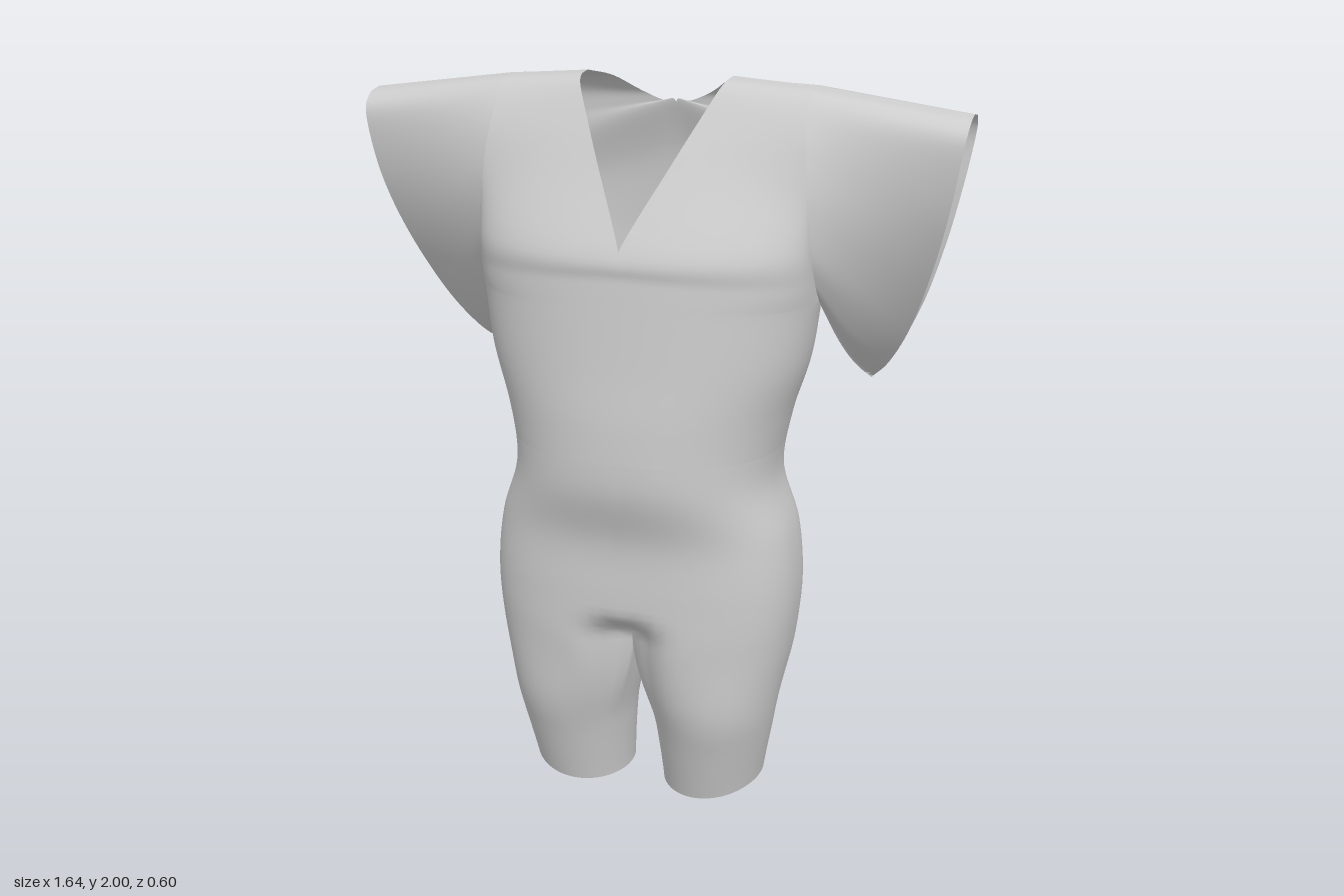
import * as THREE from 'three';
import { mergeGeometries, mergeVertices } from 'three/addons/utils/BufferGeometryUtils.js';

const { lerp, smoothstep, degToRad } = THREE.MathUtils;
const material = new THREE.MeshStandardMaterial({ color: 0xcccccc, side: THREE.DoubleSide });
const V = (x, y, z) => new THREE.Vector3(x, y, z);
const curve = (pts) => new THREE.CatmullRomCurve3(pts.map((p) => V(...p)), false, 'catmullrom', 0.5);

// Grid surface from point(u, v); side -1 mirrors it, flip turns the faces over
function sheet(point, nu, nv, side = 1, flip = false) {
  const pos = [], index = [];
  for (let j = 0; j <= nv; j++) {
    for (let i = 0; i <= nu; i++) {
      const p = point(i / nu, j / nv);
      pos.push(p.x * side, p.y, p.z);
      if (i === nu || j === nv) continue;
      const a = j * (nu + 1) + i, b = a + 1, c = a + nu + 1, d = c + 1;
      if ((side < 0) !== flip) index.push(a, d, b, a, c, d);
      else index.push(a, b, d, a, d, c);
    }
  }
  const g = new THREE.BufferGeometry();
  g.setAttribute('position', new THREE.Float32BufferAttribute(pos, 3));
  g.setIndex(index);
  return g;
}

// Welds sheets into one smooth mesh
function fabric(name, sheets) {
  const g = mergeVertices(mergeGeometries(sheets), 1e-4);
  g.computeVertexNormals();
  const mesh = new THREE.Mesh(g, material);
  mesh.name = name;
  return mesh;
}

// Body profile, evenly spaced from hem to underarm: half width, front z, back z
const CHEST = 1.44, WAIST = 1.04, CROTCH = 0.5;
const profile = curve([
  [0.34, 0.16, -0.14], [0.367, 0.203, -0.14], [0.39, 0.247, -0.145], [0.42, 0.264, -0.175],
  [0.432, 0.264, -0.245], [0.415, 0.266, -0.275], [0.368, 0.308, -0.25], [0.39, 0.308, -0.255],
  [0.437, 0.292, -0.262], [0.46, 0.278, -0.263],
]);
const CHEST_ROUND = 2.2, HIP_ROUND = 2.7, BACK_ROUND = 2.4;
const bulge = (s, n, q) => Math.pow(Math.max(0, 1 - Math.pow(s, n)), 1 / q);

// Half of the trunk section, u runs front centre -> side -> back centre
function trunk(u, y) {
  const p = profile.getPoint(y / CHEST);
  const s = u === 1 ? 0 : Math.sin(u * Math.PI), front = u <= 0.5;
  const x = p.x * s;
  const n = front ? lerp(HIP_ROUND, CHEST_ROUND, smoothstep(y, 0.7, 1.1)) : BACK_ROUND;
  const cleft = front
    ? 0.38 * (1 - smoothstep(y, CROTCH, 0.62)) ** 2
    : 0.7 * (1 - smoothstep(y, CROTCH, 0.76)) ** 2;
  const dent = 1 - cleft * Math.exp(-((x / 0.075) ** 2));
  return V(x, y, (front ? p.y : p.z) * bulge(s, n, n) * dent);
}

// Trunk section blending into a round leg below the crotch
function leg(base, degrees, y) {
  const p = profile.getPoint(y / CHEST);
  const inner = lerp(0.052, 0, (y / CROTCH) ** 1.3);
  const a = degToRad(degrees);
  const target = V(
    (p.x + inner) / 2 + ((p.x - inner) / 2) * Math.sin(a), y,
    (p.y + p.z) / 2 + ((p.y - p.z) / 2) * Math.cos(a));
  const q = base.lerp(target, 1 - smoothstep(y, 0.2, CROTCH));
  // Hem rises toward the outside and the back
  const rise = 0.035 * (q.x / 0.34) ** 3 + 0.06 * (0.16 - q.z);
  q.y += rise * (1 - smoothstep(y, 0, 0.35));
  return q;
}
const legOuter = (u, v) => leg(trunk(u, v * CROTCH), -55 + 290 * u, v * CROTCH);
const legInner = (u, v) => {
  const y = v * CROTCH;
  return leg(trunk(1, y).lerp(trunk(0, y), u), 235 + 70 * u, y);
};

// Edge curves from bottom to shoulder ridge: neckline, armhole and cuff
const edges = {
  front: {
    n: CHEST_ROUND,
    neck: curve([[0, 1.44, 0.278], [0, 1.52, 0.271], [0, 1.595, 0.262], [0.1, 1.8, 0.14],
      [0.15, 1.9, 0.075], [0.185, 1.97, 0.025], [0.197, 1.994, -0.015], [0.2, 2, -0.07]]),
    arm: curve([[0.46, 1.44, 0], [0.457, 1.5, 0.045], [0.452, 1.59, 0.085], [0.442, 1.72, 0.095],
      [0.43, 1.84, 0.072], [0.42, 1.925, 0.032], [0.42, 1.972, -0.015], [0.42, 1.983, -0.08]]),
    cuff: curve([[0.55, 1.16, -0.29], [0.61, 1.23, -0.225], [0.675, 1.35, -0.15], [0.74, 1.53, -0.06],
      [0.785, 1.7, 0], [0.813, 1.86, 0.018], [0.82, 1.915, -0.02], [0.82, 1.93, -0.08]]),
  },
  back: {
    n: BACK_ROUND,
    neck: curve([[0, 1.44, -0.263], [0, 1.6, -0.262], [0, 1.77, -0.25], [0, 1.905, -0.212],
      [0.04, 1.91, -0.212], [0.1, 1.936, -0.202], [0.16, 1.977, -0.155], [0.2, 2, -0.07]]),
    arm: curve([[0.46, 1.44, 0], [0.458, 1.53, -0.1], [0.448, 1.64, -0.16], [0.44, 1.75, -0.185],
      [0.43, 1.85, -0.19], [0.42, 1.925, -0.175], [0.42, 1.972, -0.14], [0.42, 1.983, -0.08]]),
    cuff: curve([[0.55, 1.16, -0.29], [0.62, 1.25, -0.235], [0.7, 1.41, -0.18], [0.755, 1.58, -0.16],
      [0.79, 1.73, -0.16], [0.813, 1.86, -0.168], [0.82, 1.915, -0.14], [0.82, 1.93, -0.08]]),
  },
};

// Chest or back panel between neckline and armhole
const panel = ({ neck, arm, n }) => (u, t) => {
  const s = Math.sin((u * Math.PI) / 2);
  const a = neck.getPoint(t), b = arm.getPoint(t);
  a.x = Math.max(0, a.x);
  const f = bulge(s, n, lerp(n, 1, smoothstep(t, 0, 0.6)));
  return V(lerp(a.x, b.x, s), lerp(a.y, b.y, s), lerp(b.z, a.z, f));
};

// Sleeve from armhole to cuff, sagging slightly along its lower edge
const sleeve = ({ arm, cuff }) => (u, t) => {
  const p = arm.getPoint(t).lerp(cuff.getPoint(t), u);
  p.y -= 0.03 * Math.sin(u * Math.PI) * (1 - t) ** 3;
  return p;
};

export function createModel() {
  const group = new THREE.Group();
  group.name = 'romper';
  const shorts = [], bodice = [];
  for (const side of [1, -1]) {
    // Legs and hips
    shorts.push(
      sheet(legOuter, 40, 24, side),
      sheet(legInner, 10, 24, side),
      sheet((u, v) => trunk(u, lerp(CROTCH, WAIST, v)), 40, 24, side));
    // Waist to underarm, then front and back panels
    bodice.push(
      sheet((u, v) => trunk(u, lerp(WAIST, CHEST, v)), 40, 16, side),
      sheet(panel(edges.front), 20, 49, side),
      sheet(panel(edges.back), 20, 49, side, true));
    // Open draped sleeve
    group.add(fabric(side > 0 ? 'leftSleeve' : 'rightSleeve', [
      sheet(sleeve(edges.front), 16, 49, side),
      sheet(sleeve(edges.back), 16, 49, side, true),
    ]));
  }
  group.add(fabric('shorts', shorts), fabric('bodice', bodice));
  return group;
}
